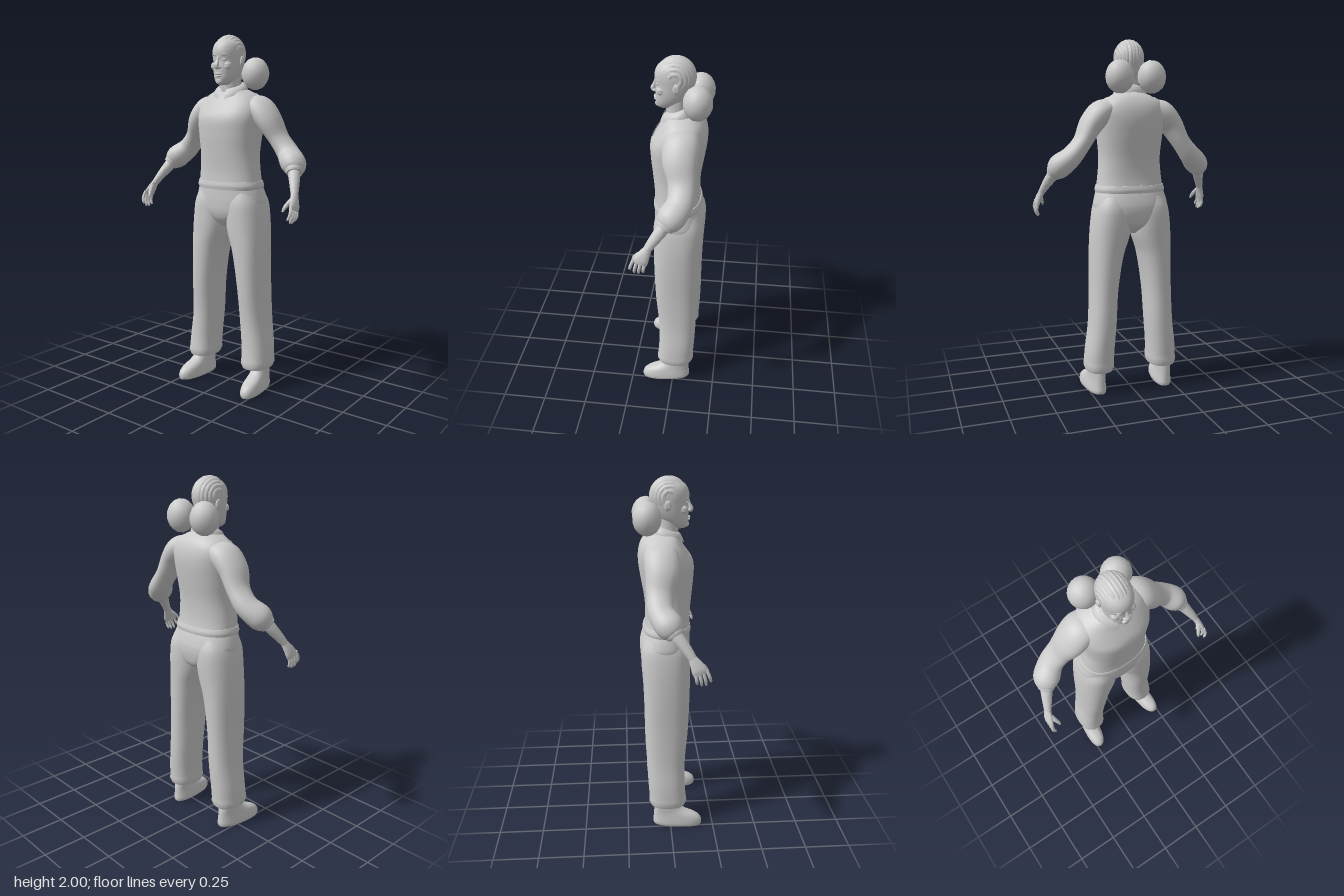
import * as THREE from 'three';
import { toCreasedNormals } from 'three/addons/utils/BufferGeometryUtils.js';

const grey = new THREE.MeshStandardMaterial({ color: 0xcccccc });
const greyThin = new THREE.MeshStandardMaterial({ color: 0xcccccc, side: THREE.DoubleSide });

// Surface from a function f(u, v), u around and v along
function grid(nu, nv, f) {
  const pos = [], idx = [];
  for (let j = 0; j <= nv; j++) for (let i = 0; i <= nu; i++) pos.push(...f(i / nu, j / nv, j));
  for (let j = 0; j < nv; j++) for (let i = 0; i < nu; i++) {
    const a = j * (nu + 1) + i, b = a + nu + 1;
    idx.push(a, a + 1, b + 1, a, b + 1, b);
  }
  const g = new THREE.BufferGeometry();
  g.setAttribute('position', new THREE.Float32BufferAttribute(pos, 3));
  g.setIndex(idx);
  return toCreasedNormals(g, 0.9);
}

// Smooth interpolation of rows keyed by their first number
function at(rows, y) {
  let i = 0;
  while (i < rows.length - 2 && y > rows[i + 1][0]) i++;
  const a = rows[i], b = rows[i + 1], p = rows[i - 1] || a, q = rows[i + 2] || b;
  const h = b[0] - a[0], t = THREE.MathUtils.clamp((y - a[0]) / h, 0, 1), t2 = t * t, t3 = t2 * t;
  return a.map((_, k) => {
    const m0 = (b[k] - p[k]) / (b[0] - p[0]) * h, m1 = (q[k] - a[k]) / (q[0] - a[0]) * h;
    return a[k] * (2 * t3 - 3 * t2 + 1) + m0 * (t3 - 2 * t2 + t) + b[k] * (3 * t2 - 2 * t3) + m1 * (t3 - t2);
  });
}

// Upright body from rows [y, centre x, half width, front z, back z]; top(a) trims the upper edge
function stack(rows, { seg = 40, steps = 32, p = 0.85, grow = 0, top, from } = {}) {
  const y0 = from ?? rows[0][0], y1 = rows[rows.length - 1][0];
  const n = top ? steps : steps + 2;
  return grid(seg, n, (u, v, j) => {
    const a = u * Math.PI * 2, s = Math.sin(a), c = Math.cos(a);
    const t = top ? v : THREE.MathUtils.clamp((j - 1) / steps, 0, 1);
    const y = y0 + ((top ? top(s, c) : y1) - y0) * t;
    const [, cx, rx, zf, zb] = at(rows, y);
    const k = !top && (j === 0 || j === n) ? 0 : 1; // closed ends
    const w = (q) => k * Math.sign(q) * Math.abs(q) ** p;
    return [cx + w(s) * (rx + grow), y, (zf + zb) / 2 + w(c) * ((zf - zb) / 2 + grow)];
  });
}

// Limb along points [x, y, z, radius across, radius in depth]
function limb(pts, seg = 20, steps = 24) {
  const curve = new THREE.CatmullRomCurve3(pts.map((p) => new THREE.Vector3(...p)));
  const radii = pts.map((p, i) => [i, p[3], p[4] ?? p[3]]);
  return grid(seg, steps + 2, (u, v, j) => {
    const t = THREE.MathUtils.clamp((j - 1) / steps, 0, 1);
    const c = curve.getPoint(t), T = curve.getTangent(t);
    const S = new THREE.Vector3(0, 0, 1).addScaledVector(T, -T.z).normalize();
    const N = S.clone().cross(T);
    const [, r1, r2] = at(radii, t * (pts.length - 1));
    const k = j === 0 || j === steps + 2 ? 0 : 1, a = u * Math.PI * 2;
    c.addScaledVector(N, k * r1 * Math.cos(a)).addScaledVector(S, k * r2 * Math.sin(a));
    return [c.x, c.y, c.z];
  });
}

const blob = (x, y, z, rx, ry, rz, detail = 3) =>
  toCreasedNormals(new THREE.IcosahedronGeometry(1, detail).scale(rx, ry, rz), 0.9).translate(x, y, z);

// Reflection in x, with the corner order turned round
function mirror(geo) {
  const g = geo.clone().scale(-1, 1, 1);
  for (const { array, itemSize: n } of Object.values(g.attributes))
    for (let i = 0; i < array.length; i += 3 * n) for (let k = 0; k < n; k++)
      [array[i + n + k], array[i + 2 * n + k]] = [array[i + 2 * n + k], array[i + n + k]];
  return g;
}

export function createModel() {
  const model = new THREE.Group();
  const add = (name, geo, mat = grey) => {
    const m = new THREE.Mesh(geo, mat);
    m.name = name;
    model.add(m);
  };
  const pair = (name, geo, mat) => {
    add(name + 'Left', geo, mat);
    add(name + 'Right', mirror(geo), mat);
  };

  // Shirt body and the V-necked vest over it
  const torso = [
    [1.16, 0, 0.188, 0.115, -0.13], [1.25, 0, 0.176, 0.112, -0.12], [1.35, 0, 0.168, 0.12, -0.125],
    [1.47, 0, 0.178, 0.131, -0.145], [1.55, 0, 0.187, 0.13, -0.156], [1.61, 0, 0.188, 0.1, -0.154],
    [1.66, 0, 0.165, 0.07, -0.138], [1.695, 0, 0.11, 0.052, -0.108], [1.715, 0, 0.06, 0.035, -0.07]];
  add('shirt', stack(torso));
  const neckline = (s, c) => c < 0 ? 1.685
    : 1.555 + 0.13 * THREE.MathUtils.smoothstep(Math.abs(s), -0.35, 1) - 0.022 * c;
  add('vest', stack(torso, { grow: 0.007, top: neckline, seg: 64 }), greyThin);
  add('hem', stack([[1.155, 0, 0.196, 0.122, -0.14], [1.175, 0, 0.201, 0.126, -0.143], [1.2, 0, 0.194, 0.122, -0.136]], { steps: 6 }));

  // Trousers
  add('hips', stack([
    [0.925, 0, 0.03, 0.03, -0.07], [0.97, 0, 0.1, 0.09, -0.135], [1.02, 0, 0.19, 0.114, -0.155],
    [1.08, 0, 0.214, 0.12, -0.16], [1.13, 0, 0.206, 0.12, -0.15], [1.17, 0, 0.193, 0.119, -0.137]]));
  pair('trouserLeg', stack([
    [0.13, 0.192, 0.076, 0.088, -0.112], [0.145, 0.192, 0.084, 0.097, -0.122], [0.17, 0.191, 0.083, 0.094, -0.12],
    [0.25, 0.187, 0.081, 0.087, -0.125], [0.4, 0.172, 0.077, 0.087, -0.132], [0.6, 0.161, 0.078, 0.104, -0.135],
    [0.8, 0.144, 0.093, 0.113, -0.142], [0.92, 0.123, 0.11, 0.116, -0.15], [1.0, 0.115, 0.111, 0.117, -0.155],
    [1.08, 0.11, 0.103, 0.115, -0.152], [1.14, 0.1, 0.09, 0.1, -0.13]], { steps: 44 }));

  // Shoes, toes turned slightly out
  const shoe = stack([
    [0, 0.208, 0.05, 0.18, -0.096], [0.012, 0.208, 0.054, 0.185, -0.1], [0.04, 0.208, 0.052, 0.181, -0.098],
    [0.065, 0.208, 0.048, 0.155, -0.096], [0.09, 0.208, 0.044, 0.095, -0.094],
    [0.115, 0.208, 0.043, 0.055, -0.09], [0.17, 0.205, 0.042, 0.045, -0.085]], { steps: 20 });
  const sp = shoe.attributes.position;
  for (let i = 0; i < sp.count; i++) sp.setX(i, sp.getX(i) + 0.1 * sp.getZ(i));
  pair('shoe', shoe);

  // Sleeves gathered at the cuff, and bare forearms
  pair('sleeve', limb([
    [0.12, 1.63, -0.045, 0.05, 0.08], [0.175, 1.6, -0.043, 0.07, 0.094], [0.232, 1.54, -0.042, 0.065, 0.092],
    [0.29, 1.44, -0.058, 0.051, 0.073], [0.352, 1.362, -0.055, 0.058, 0.07], [0.405, 1.312, -0.02, 0.066, 0.074],
    [0.425, 1.286, 0, 0.056, 0.063], [0.432, 1.276, 0.008, 0.046, 0.052]], 24, 40));
  pair('cuff', limb([[0.422, 1.288, 0, 0.045, 0.05], [0.43, 1.276, 0.008, 0.047, 0.052], [0.437, 1.264, 0.016, 0.04, 0.046]], 24, 6));
  pair('forearm', limb([
    [0.415, 1.3, -0.005, 0.034], [0.443, 1.25, 0.03, 0.031, 0.033], [0.468, 1.2, 0.068, 0.024, 0.027],
    [0.486, 1.16, 0.096, 0.018, 0.022]]));

  // Hands
  pair('palm', limb([
    [0.483, 1.168, 0.09, 0.016, 0.021], [0.495, 1.135, 0.11, 0.017, 0.032], [0.504, 1.105, 0.126, 0.016, 0.04],
    [0.508, 1.085, 0.134, 0.011, 0.038]]));
  for (let i = 0; i < 4; i++) {
    const z = 0.105 + i * 0.019, drop = [0.05, 0.064, 0.068, 0.055][i], y = 1.077 + i * 0.006;
    pair('finger' + (i + 1), limb([
      [0.506, y + 0.015, z, 0.0095], [0.512, y - drop * 0.45, z + 0.008 + i * 0.003, 0.009],
      [0.503, y - drop * 0.85, z + 0.011 + i * 0.004, 0.0075], [0.5, y - drop, z + 0.012 + i * 0.004, 0.004]], 10, 10));
  }
  pair('thumb', limb([
    [0.491, 1.145, 0.118, 0.013], [0.478, 1.12, 0.148, 0.012], [0.467, 1.095, 0.168, 0.009], [0.464, 1.08, 0.176, 0.005]], 10, 10));

  // Neck and open collar
  add('neck', stack([[1.64, 0, 0.07, 0.05, -0.06], [1.7, 0, 0.056, 0.055, -0.055], [1.8, 0, 0.052, 0.06, -0.055]], { steps: 8, p: 1 }));
  add('collar', grid(48, 8, (u, v) => {
    const a = 0.22 + u * (Math.PI * 2 - 0.44), c = Math.cos(a), r = 0.1 - 0.034 * v ** 1.5;
    const point = 0.016 * Math.max(0, c) ** 6 * (1 - v);
    return [Math.sin(a) * r, 1.688 + 0.042 * Math.sin(v * Math.PI / 2) - 0.022 * c - point, c * r * 0.88 - 0.008 + point * 0.5];
  }), greyThin);

  // Head and face
  add('head', stack([
    [1.727, 0, 0.02, 0.088, 0.03], [1.737, 0, 0.036, 0.102, 0.005], [1.755, 0, 0.051, 0.109, -0.025],
    [1.785, 0, 0.064, 0.11, -0.055], [1.82, 0, 0.072, 0.111, -0.078], [1.86, 0, 0.077, 0.108, -0.09],
    [1.9, 0, 0.079, 0.114, -0.094], [1.94, 0, 0.074, 0.104, -0.085], [1.97, 0, 0.055, 0.075, -0.06],
    [1.985, 0, 0.025, 0.035, -0.03]], { p: 0.95 }));
  add('nose', limb([
    [0, 1.885, 0.105, 0.007], [0, 1.855, 0.114, 0.009], [0, 1.828, 0.123, 0.014, 0.013], [0, 1.815, 0.113, 0.013, 0.009]], 14, 14));
  pair('nostril', blob(0.013, 1.821, 0.113, 0.009, 0.008, 0.01));
  add('upperLip', blob(0, 1.787, 0.108, 0.025, 0.007, 0.012));
  add('lowerLip', blob(0, 1.775, 0.107, 0.021, 0.008, 0.012));
  add('chin', blob(0, 1.748, 0.095, 0.025, 0.017, 0.019));
  pair('eye', blob(0.032, 1.864, 0.092, 0.014, 0.009, 0.013));
  pair('brow', limb([[0.013, 1.884, 0.106, 0.005], [0.035, 1.889, 0.1, 0.006], [0.058, 1.88, 0.077, 0.003]], 10, 10));
  pair('cheek', blob(0.042, 1.83, 0.078, 0.025, 0.024, 0.024));
  pair('ear', blob(0.08, 1.855, -0.005, 0.009, 0.029, 0.018));

  // Braided rows running from the hairline to the nape
  add('braidedHair', grid(100, 32, (u, v) => {
    const phi = (u - 0.5) * 2.7, t = 1.13 - v * 3.5;
    const ridge = 0.95 + 0.065 * Math.sqrt(Math.abs(Math.sin(u * Math.PI * 11))), r = Math.cos(phi) * ridge;
    return [0.083 * Math.sin(phi) * ridge, 1.897 + 0.102 * r * Math.cos(t), 0.004 + 0.102 * r * Math.sin(t)];
  }), greyThin);

  // Hair buns
  pair('hairBun', blob(0.092, 1.792, -0.115, 0.079, 0.091, 0.077, 2));
  return model;
}
